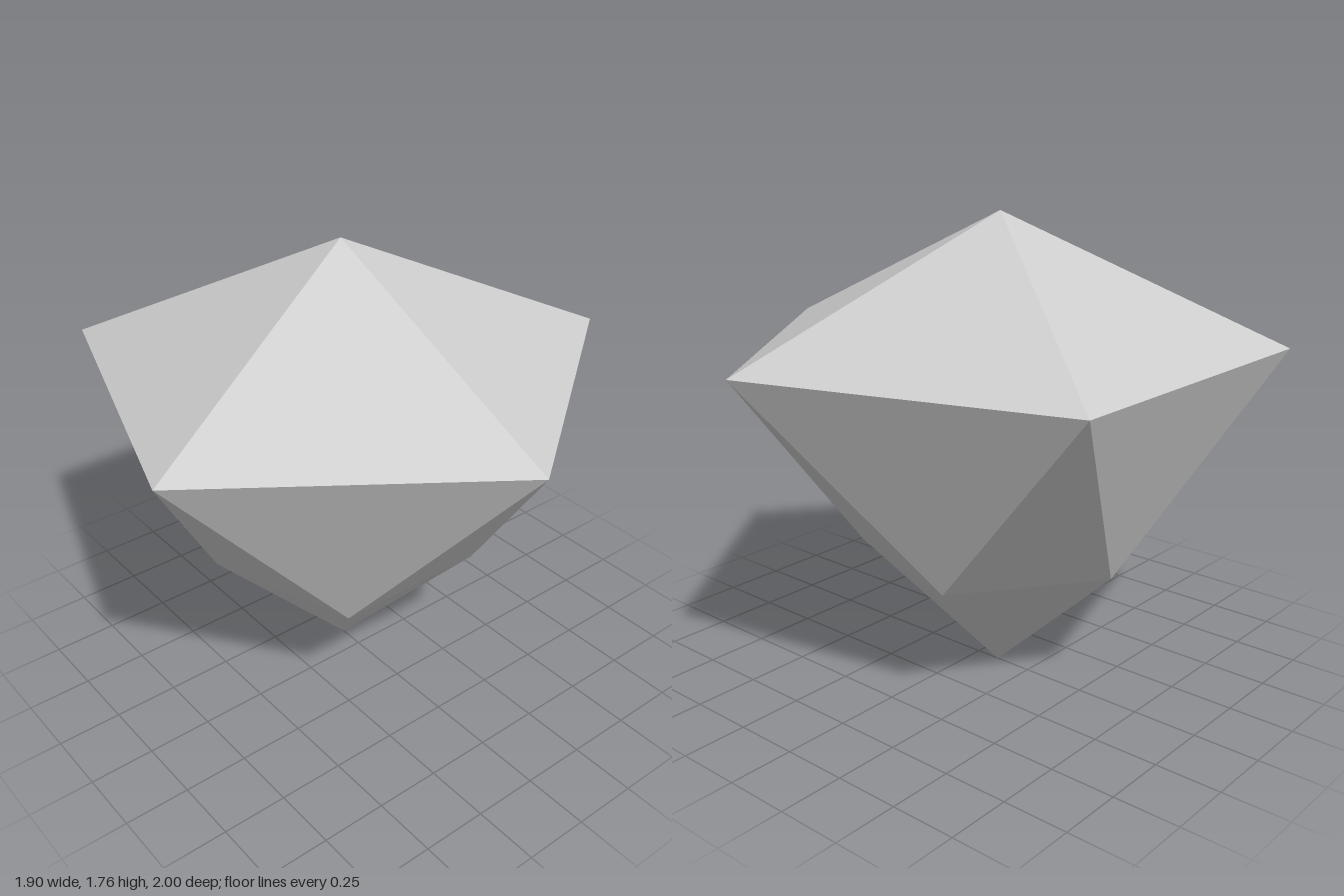
import * as THREE from 'three';

const SIDES = 5;
const AXIS_X = -0.1; // a pentagon's bounds are not centred on its axis

// Point on a five-sided ring; step counts in fifths of a turn
function ringPoint(radius, y, step) {
  const a = (step / SIDES) * Math.PI * 2;
  return [AXIS_X + radius * Math.cos(a), y, radius * Math.sin(a)];
}

const girdle = (i) => ringPoint(1.051, 1.28, i);
const waist = (i) => ringPoint(0.526, 0.49, i + 0.5);
const topTip = [AXIS_X, 1.765, 0];
const bottomTip = [AXIS_X, 0, 0];

// Mesh made by repeating a few triangles around the axis
function facets(name, material, trianglesAt) {
  const points = [];
  for (let i = 0; i < SIDES; i++) points.push(...trianglesAt(i).flat());
  const geometry = new THREE.BufferGeometry();
  geometry.setAttribute('position', new THREE.Float32BufferAttribute(points, 3));
  geometry.computeVertexNormals();
  const mesh = new THREE.Mesh(geometry, material);
  mesh.name = name;
  return mesh;
}

export function createModel() {
  const group = new THREE.Group();
  group.name = 'gem';
  const stone = new THREE.MeshStandardMaterial({ color: 0xcccccc, flatShading: true });
  stone.name = 'pale grey stone';

  // Shallow pyramid on top
  group.add(facets('crown', stone, (i) => [topTip, girdle(i + 1), girdle(i)]));

  // Twisted band of alternating triangles
  group.add(facets('pavilion', stone, (i) => [
    waist(i), girdle(i), girdle(i + 1),
    girdle(i + 1), waist(i + 1), waist(i),
  ]));

  // Pointed base
  group.add(facets('bottomPoint', stone, (i) => [bottomTip, waist(i), waist(i + 1)]));

  return group;
}
